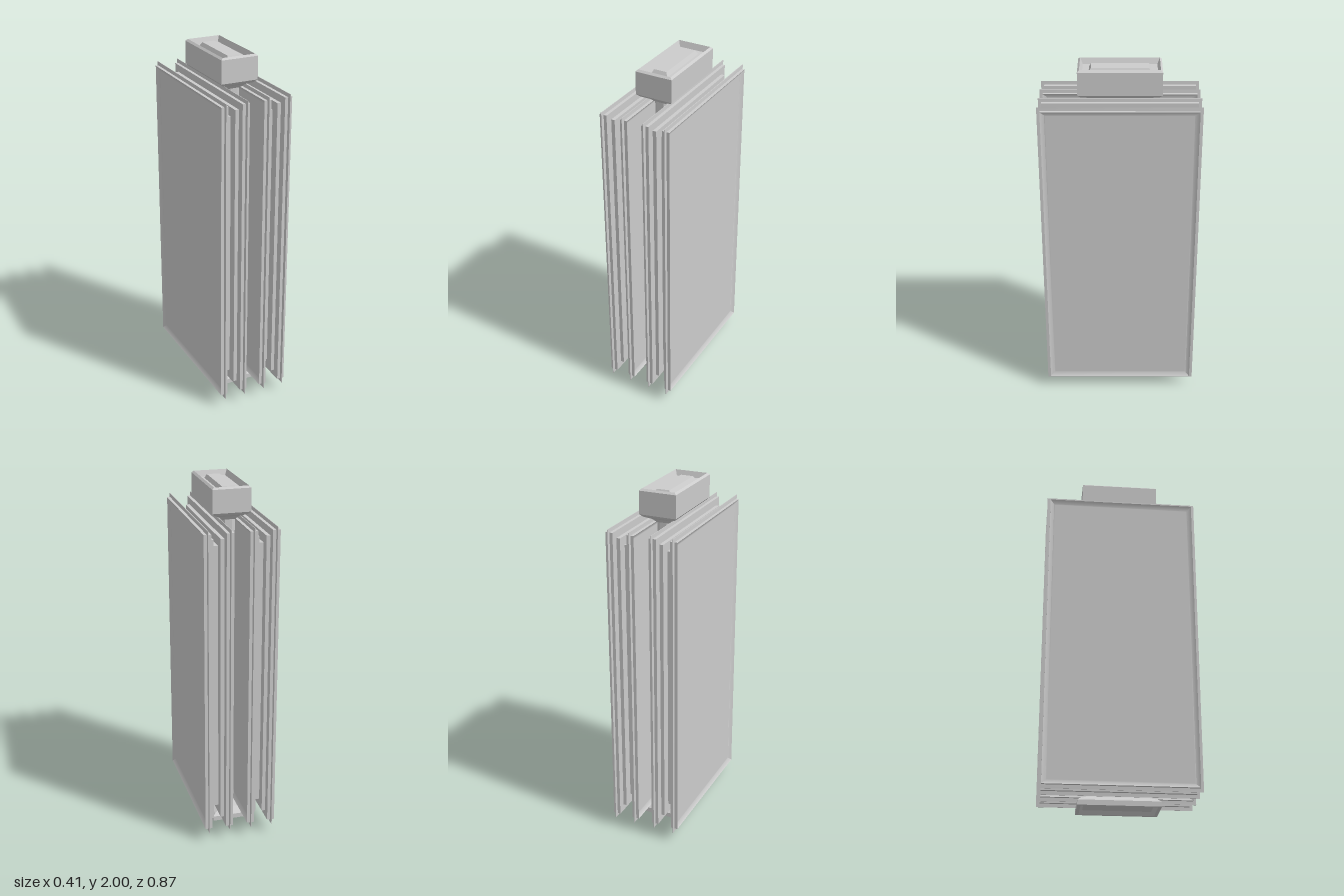
import * as THREE from 'three';
import { toCreasedNormals } from 'three/addons/utils/BufferGeometryUtils.js';

const material = new THREE.MeshStandardMaterial({ color: 0xcccccc });

// Closed solid through rectangular sections [height, halfX, halfZ] stacked along y.
function loftRect(levels) {
  const corners = [[-1, -1], [-1, 1], [1, 1], [1, -1]];
  const at = (l, i) => [corners[i][0] * l[1], l[0], corners[i][1] * l[2]];
  const pos = [];
  const quad = (a, b, c, d) => pos.push(...a, ...b, ...c, ...a, ...c, ...d);
  for (let k = 0; k < levels.length - 1; k++) {
    const lo = levels[k], hi = levels[k + 1];
    for (let i = 0; i < 4; i++) {
      const j = (i + 1) % 4;
      quad(at(lo, i), at(lo, j), at(hi, j), at(hi, i));
    }
  }
  const first = levels[0], last = levels[levels.length - 1];
  quad(at(first, 3), at(first, 2), at(first, 1), at(first, 0));
  quad(at(last, 0), at(last, 1), at(last, 2), at(last, 3));
  const geo = new THREE.BufferGeometry();
  geo.setAttribute('position', new THREE.Float32BufferAttribute(pos, 3));
  geo.computeVertexNormals();
  return geo;
}

export function createModel() {
  const group = new THREE.Group();
  const add = (name, geo) => {
    const mesh = new THREE.Mesh(geo, material);
    mesh.name = name;
    group.add(mesh);
    return mesh;
  };

  // Twin-panel block: half of its profile across x, then mirrored
  const half = [
    [0.0665, 0.838, 0.391], [0.0665, 0.843, 0.396], // sunken panel face
    [0.0815, 0.865, 0.418], [0.0645, 0.865, 0.418], // panel rim and edge
    [0.0625, 0.885, 0.436], [0.0595, 0.885, 0.436], // thin blade edge
    [0.0575, 0.865, 0.418], [0.04, 0.865, 0.418],
    [0.04, 0.825, 0.376], [0.0195, 0.825, 0.376], // stepped inner plate
    [0.0195, 0.775, 0.325], // web between the panels
  ];
  const profile = [
    ...half.map(([t, a, b]) => [-t, a, b]),
    ...half.slice().reverse(),
  ];
  const blockGeo = toCreasedNormals(loftRect(profile).rotateZ(-Math.PI / 2), 0.65);
  for (const [side, name] of [[1, 'leftPanelBlock'], [-1, 'rightPanelBlock']]) {
    add(name, blockGeo).position.set(side * 0.1235, 0.945, 0);
  }

  // Central post with bevelled front and back
  add('corePost', loftRect([
    [-0.158, 0.02, 0.885], [-0.14, 0.04, 0.885],
    [0.14, 0.04, 0.885], [0.158, 0.02, 0.885],
  ]).rotateX(Math.PI / 2)).position.y = 0.945;

  // Foot with a flat rim and a sunken underside
  add('foot', loftRect([
    [0.018, 0.07, 0.188], [0, 0.088, 0.206],
    [0, 0.106, 0.224], [0.028, 0.106, 0.224],
    [0.04, 0.092, 0.21], [0.055, 0.058, 0.18], [0.08, 0.035, 0.157],
  ]));

  // Cap with a raised rim, a sunken floor and a raised centre bar
  add('cap', loftRect([
    [1.81, 0.035, 0.157], [1.832, 0.055, 0.18], [1.846, 0.09, 0.208],
    [1.862, 0.106, 0.224], [1.99, 0.106, 0.224], [2, 0.095, 0.213],
    [1.968, 0.082, 0.2], [1.968, 0.048, 0.165], [1.99, 0.036, 0.153],
  ]));

  return group;
}
